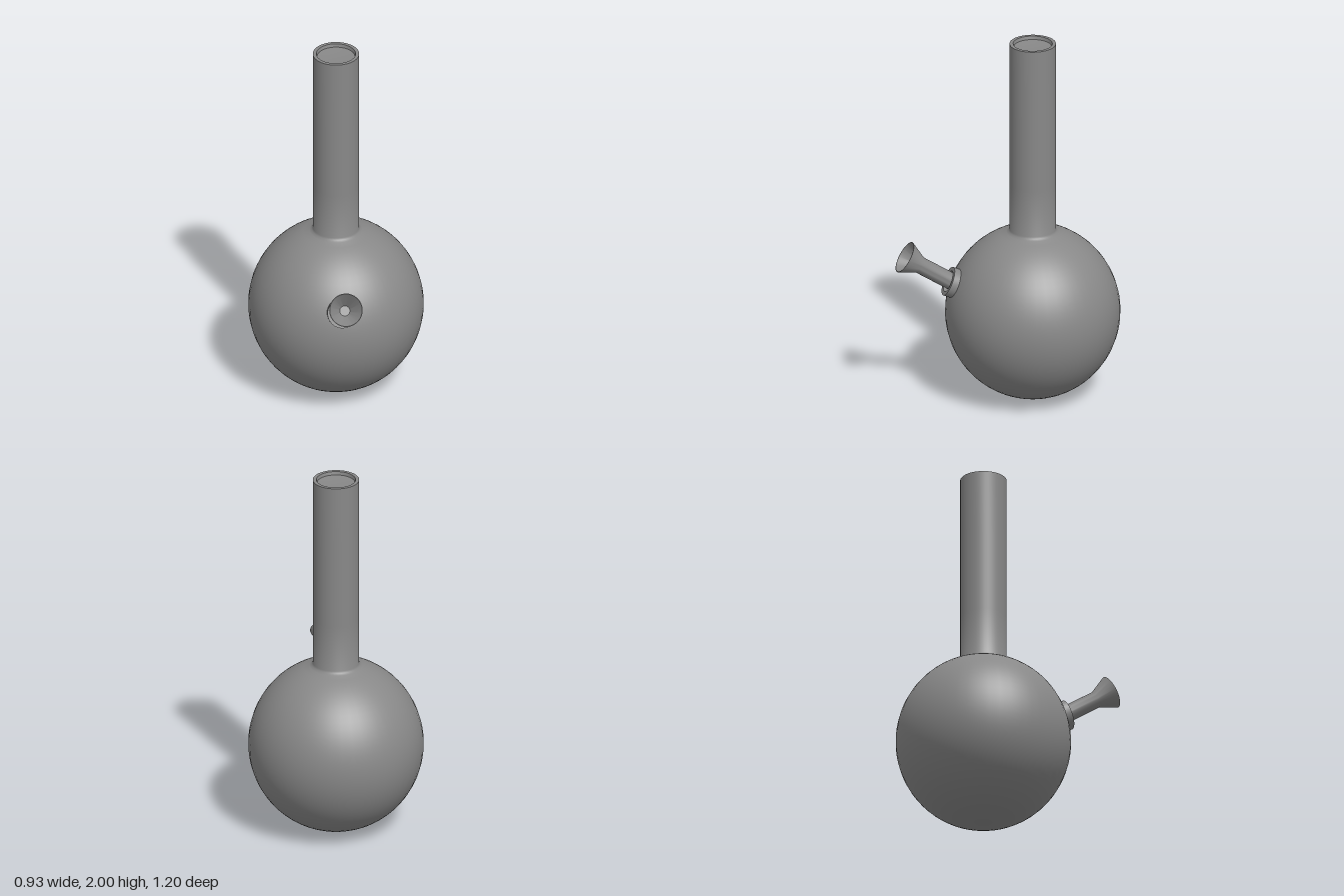
import * as THREE from 'three';
import { toCreasedNormals } from 'three/addons/utils/BufferGeometryUtils.js';

const material = new THREE.MeshStandardMaterial({ color: 0x888888 });

// Turned part from a [radius, height] profile, smooth with sharp rims
function turned(name, profile, segments) {
  const points = profile.map(([r, h]) => new THREE.Vector2(r, h));
  const mesh = new THREE.Mesh(toCreasedNormals(new THREE.LatheGeometry(points, segments), 0.6), material);
  mesh.name = name;
  return mesh;
}

// Tilt a part's own y axis forward so that it rises at the given angle
function tilt(mesh, degrees, y, z) {
  mesh.rotation.x = Math.PI / 2 - THREE.MathUtils.degToRad(degrees);
  mesh.position.set(0, y, z);
  return mesh;
}

export function createModel() {
  const model = new THREE.Group();
  model.name = 'waterPipe';
  const R = 0.465, H = 0.473, bodyZ = -0.135;

  // Round chamber, slightly taller than wide: arc from the bottom pole up to the neck
  const profile = [];
  const steps = 36, end = Math.PI - Math.asin(0.14 / R);
  for (let i = 0; i <= steps; i++) {
    const a = (end * i) / steps;
    profile.push([R * Math.sin(a), H - H * Math.cos(a)]);
  }
  // Tight fillet, straight neck, rim and shallow recessed mouth
  profile.push([0.128, 0.932], [0.123, 0.942], [0.123, 1.2], [0.123, 1.6], [0.123, 2],
    [0.104, 2], [0.1, 1.982], [0.05, 1.979], [0, 1.978]);
  const body = turned('chamberAndNeck', profile, 48);
  body.position.z = bodyZ;
  model.add(body);

  // Collar ring standing square to the chamber wall
  const collar = turned('collar', [[0.08, 0.43], [0.08, 0.498], [0.058, 0.498], [0.058, 0.43]], 32);
  model.add(tilt(collar, 24, 0.47, bodyZ));

  // Stem flaring into an open bowl; its origin is the bowl's throat
  const stem = turned('stemAndBowl', [[0, -0.3], [0.045, -0.3], [0.045, 0], [0.089, 0.095],
    [0.086, 0.095], [0.027, 0.002], [0, 0.002]], 32);
  model.add(tilt(stem, 32, 0.776, 0.473));

  return model;
}
